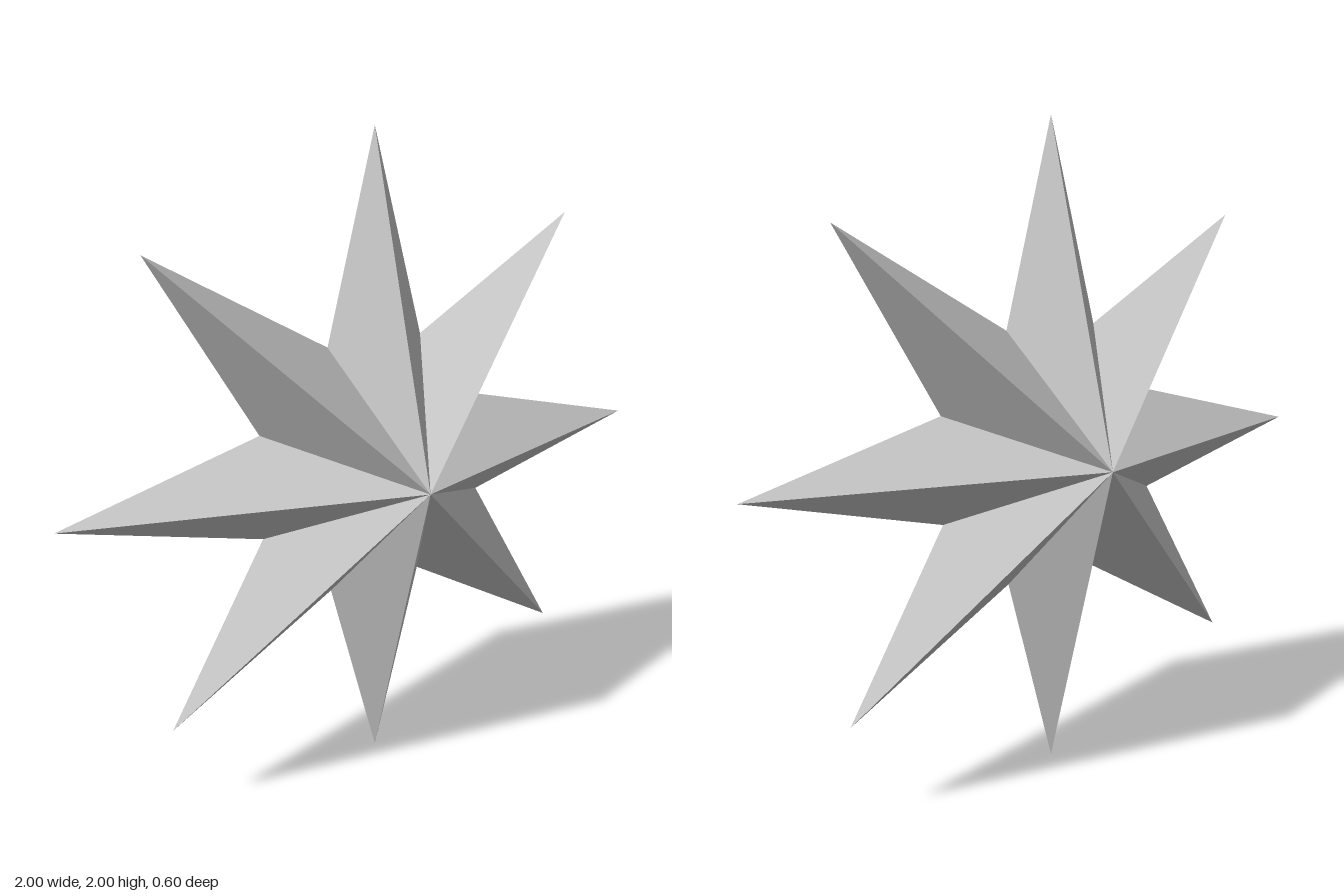
import * as THREE from 'three';

const POINTS = 8, OUTER = 1, INNER = 0.42, DEPTH = 0.3;

// Rim corner i, alternating between tip and notch, starting from the top
function rim(i) {
  const a = (i * Math.PI) / POINTS;
  const r = i % 2 === 0 ? OUTER : INNER;
  return [Math.sin(a) * r, Math.cos(a) * r, 0];
}

// One star point: four facets from tip and notches to the front and back apex
function rayGeometry() {
  const front = [0, 0, DEPTH], back = [0, 0, -DEPTH];
  const corners = [];
  for (let i = -1; i < 1; i++) {
    const a = rim(i), b = rim(i + 1);
    corners.push(...front, ...b, ...a); // front facet
    corners.push(...back, ...a, ...b);  // back facet
  }
  const geometry = new THREE.BufferGeometry();
  geometry.setAttribute('position', new THREE.Float32BufferAttribute(corners, 3));
  geometry.computeVertexNormals();
  return geometry;
}

export function createModel() {
  const model = new THREE.Group();
  model.name = 'star';
  const material = new THREE.MeshStandardMaterial({ color: 0xcccccc, flatShading: true });
  const geometry = rayGeometry();

  // Eight equal points around the centre
  for (let i = 0; i < POINTS; i++) {
    const ray = new THREE.Mesh(geometry, material);
    ray.name = `starPoint${i + 1}`;
    ray.position.y = OUTER;
    ray.rotation.z = (-i * 2 * Math.PI) / POINTS;
    model.add(ray);
  }
  return model;
}
